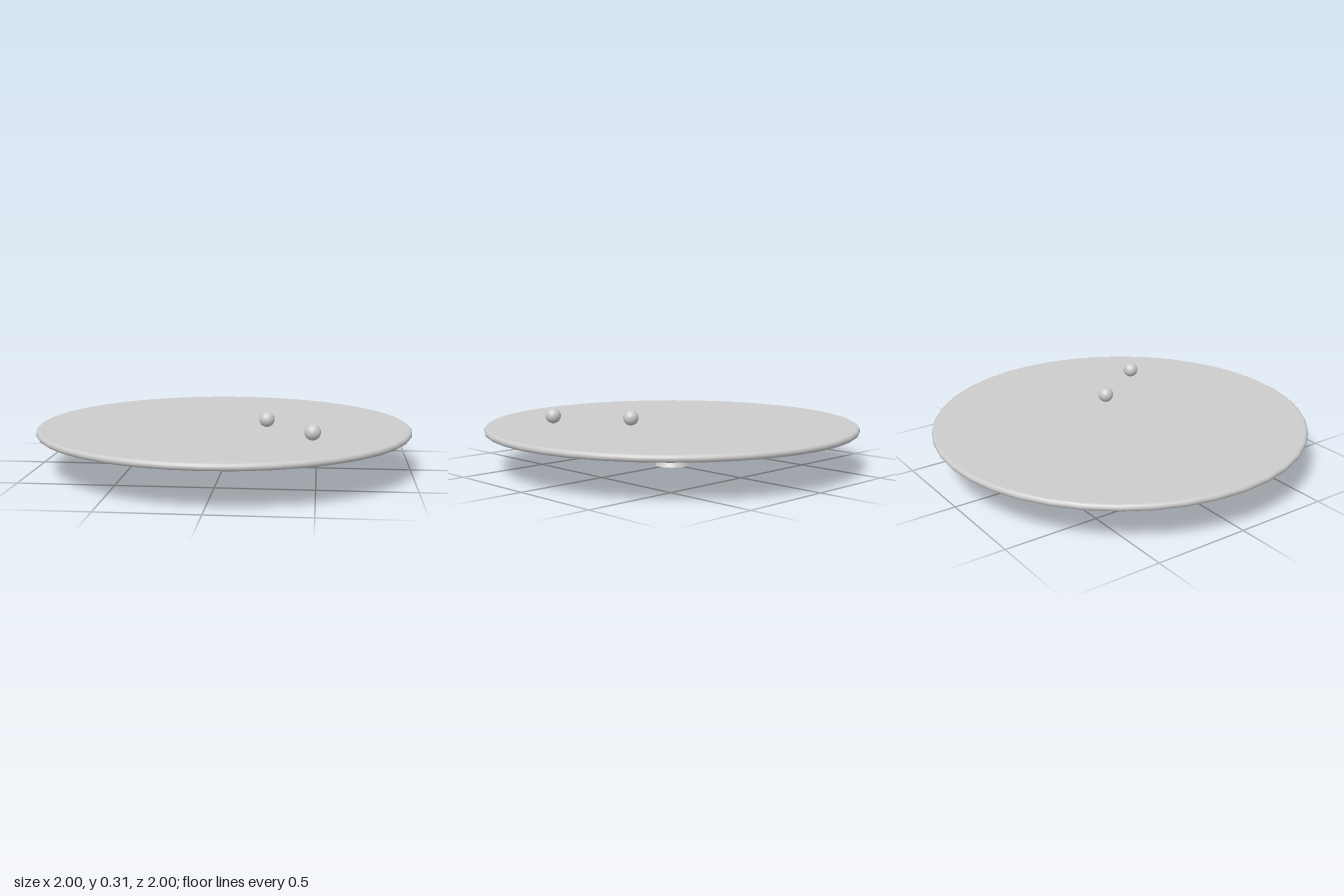
import * as THREE from 'three';

const material = new THREE.MeshStandardMaterial({ color: 0xcccccc });

function addPart(parent, name, geometry, x, y, z) {
  const mesh = new THREE.Mesh(geometry, material);
  mesh.name = name;
  mesh.position.set(x, y, z);
  parent.add(mesh);
}

// Thin round plate: flat faces joined by a half-round rim
function plateGeometry(radius, thickness, segments) {
  const r = thickness / 2;
  const points = [new THREE.Vector2(0, -r)];
  for (let i = 0; i <= 8; i++) {
    const a = -Math.PI / 2 + (Math.PI * i) / 8;
    points.push(new THREE.Vector2(radius - r + r * Math.cos(a), r * Math.sin(a)));
  }
  points.push(new THREE.Vector2(0, r));
  return new THREE.LatheGeometry(points, segments);
}

export function createModel() {
  const model = new THREE.Group();
  model.name = 'balancingPlate';

  // Pointed pivot, its tip just below the plate
  addPart(model, 'pivotCone', new THREE.ConeGeometry(0.09, 0.183, 32), 0, 0.0915, 0);

  // Balancing plate
  addPart(model, 'plate', plateGeometry(1, 0.037, 40), 0, 0.214, 0);

  // Two balls resting on the plate
  const ball = new THREE.SphereGeometry(0.041, 32, 16);
  addPart(model, 'innerBall', ball, 0.235, 0.274, 0.07);
  addPart(model, 'outerBall', ball, 0.48, 0.274, 0.42);

  return model;
}
